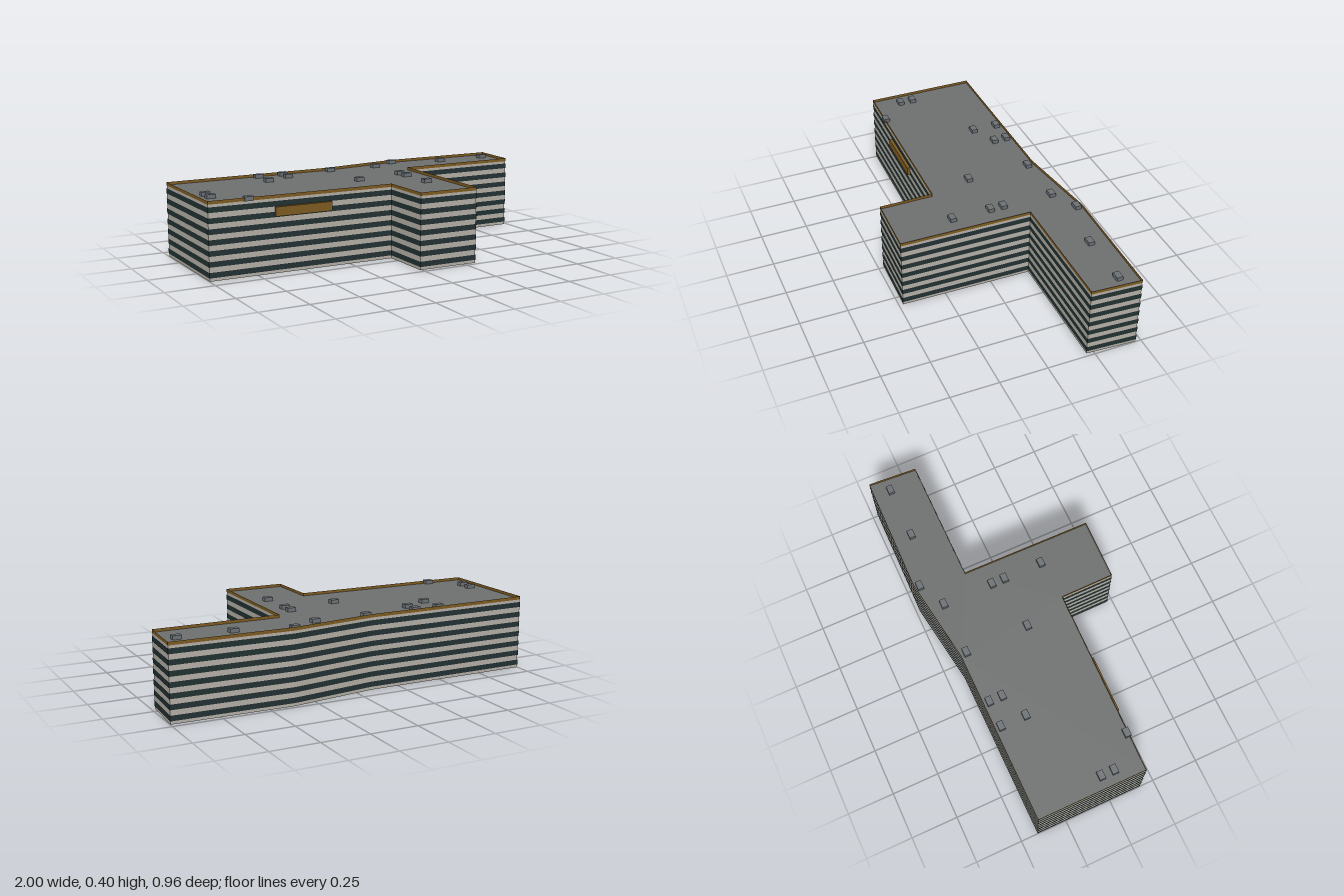
import * as THREE from 'three';

const mat = (name, color, double = true) => {
  const m = new THREE.MeshStandardMaterial({ color, side: double ? THREE.DoubleSide : THREE.FrontSide });
  m.name = name;
  return m;
};

// Footprint corners as [x, z]
const plan = [
  [-0.998, -0.408], [-0.09, -0.412], [0.37, -0.48], [0.998, -0.47], [0.982, -0.213],
  [0.32, -0.213], [0.312, 0.478], [-0.008, 0.471], [-0.01, 0.188], [-0.998, 0.172],
];

// Outline pushed outward by d with mitred corners
function offsetPlan(d) {
  const n = plan.length;
  const normal = (i) => {
    const a = plan[i], b = plan[(i + 1) % n];
    return new THREE.Vector2(b[1] - a[1], a[0] - b[0]).normalize();
  };
  return plan.map(([x, z], i) => {
    const p = normal((i + n - 1) % n), q = normal(i);
    const k = d / (1 + p.dot(q));
    return [x + (p.x + q.x) * k, z + (p.y + q.y) * k];
  });
}

// Vertical sheet following the outline, with hard corners
function band(y0, y1, d) {
  const pts = offsetPlan(d), pos = [];
  pts.forEach(([ax, az], i) => {
    const [bx, bz] = pts[(i + 1) % pts.length];
    pos.push(ax, y0, az, ax, y1, az, bx, y1, bz);
    pos.push(ax, y0, az, bx, y1, bz, bx, y0, bz);
  });
  const g = new THREE.BufferGeometry();
  g.setAttribute('position', new THREE.Float32BufferAttribute(pos, 3));
  g.computeVertexNormals();
  return g;
}

export function createModel() {
  const group = new THREE.Group();
  group.name = 'officeBlock';
  const wall = mat('pale cladding', 0xb3aea5);
  const glass = mat('dark glazing', 0x213031);
  const gold = mat('bronze trim', 0x7c5a20);
  const roofGrey = mat('roof grey', 0x6e7070);
  const unitGrey = mat('roof unit grey', 0x6b7176, false);
  const add = (name, geo, m) => {
    const mesh = new THREE.Mesh(geo, m);
    mesh.name = name;
    group.add(mesh);
    return mesh;
  };

  // Walls, window strips and parapet
  add('walls', band(0, 0.374, 0), wall);
  for (let i = 0; i < 7; i++) {
    const y = 0.016 + i * 0.0529;
    add('windowStrip' + (i + 1), band(y, y + 0.027, 0.002), glass);
  }
  add('parapet', band(0.374, 0.391, 0.001), gold);

  // Flat roof just below the parapet rim
  const shape = new THREE.Shape(plan.map(([x, z]) => new THREE.Vector2(x, -z)));
  add('roof', new THREE.ShapeGeometry(shape).rotateX(-Math.PI / 2).translate(0, 0.376, 0), roofGrey);

  // Rooftop units
  const units = [
    [-0.93, -0.04], [-0.93, 0.03], [-0.79, 0.168], [-0.5, -0.38], [-0.5, -0.245], [-0.36, -0.38],
    [-0.36, -0.31], [-0.075, -0.38], [-0.075, -0.04], [0.21, -0.38], [0.21, -0.11], [0.21, -0.04],
    [0.21, 0.168], [0.355, -0.453], [0.64, -0.38], [0.925, -0.38],
  ];
  const unitGeo = new THREE.BoxGeometry(0.046, 0.022, 0.032);
  units.forEach(([x, z], i) => add('roofUnit' + (i + 1), unitGeo, unitGrey).position.set(x, 0.385, z));

  // Sign panel on the front wall
  const panel = add('frontPanel', new THREE.BoxGeometry(0.302, 0.047, 0.016), gold);
  panel.position.set(-0.507, 0.31, 0.19);
  panel.rotation.y = -0.016;

  return group;
}
